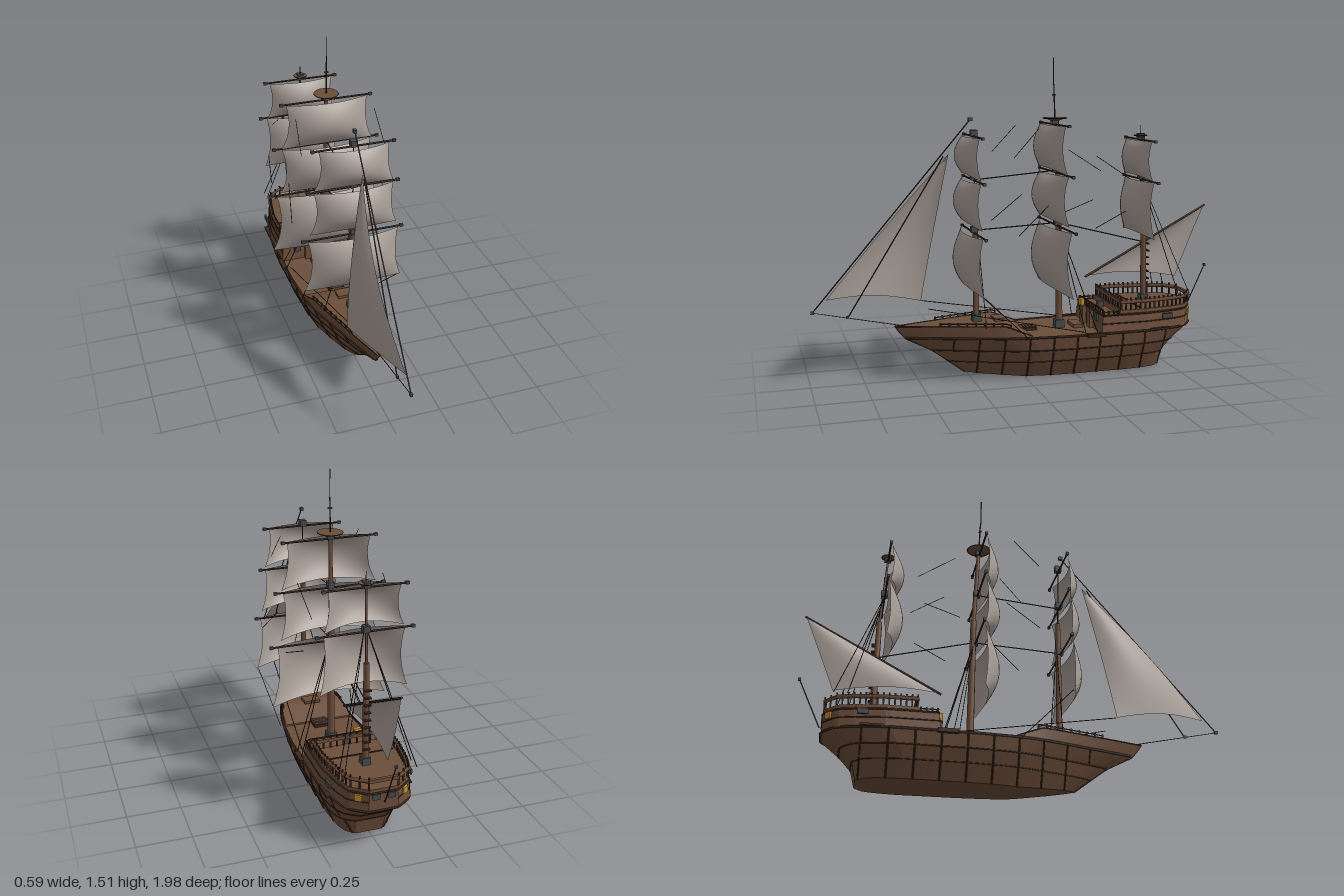
import * as THREE from 'three';
import { ParametricGeometry } from 'three/addons/geometries/ParametricGeometry.js';

const mat = (name, color, side = THREE.FrontSide) => Object.assign(new THREE.MeshStandardMaterial({ color, side }), { name });
const V = (x, y, z) => new THREE.Vector3(x, y, z);

// Half-width of the hull along its length, from stern (0) to bow (1)
const PLAN = [[0, .35], [.04, .76], [.09, .88], [.19, 1], [.47, .98], [.61, .9], [.68, .8], [.75, .64], [.89, .3], [1, .02]];
function planWidth(s) {
  const i = Math.max(1, PLAN.findIndex(p => p[0] >= s - 1e-6));
  const [a, b] = [PLAN[i - 1], PLAN[i]];
  return THREE.MathUtils.lerp(a[1], b[1], THREE.MathUtils.clamp((s - a[0]) / (b[0] - a[0]), 0, 1));
}
const level = (y, zs, zb, hw, p = 1) => ({ y, zs, zb, hw, p });
// Starboard point of a level at a given z
function edge(l, z) {
  const s = THREE.MathUtils.clamp((z - l.zs) / (l.zb - l.zs), 0, 1);
  return V(l.hw * Math.pow(planWidth(s), l.p), typeof l.y === 'function' ? l.y(z) : l.y, z);
}
const N = 30;
function side(l, zA = l.zs, zB = l.zb) {
  return Array.from({ length: N + 1 }, (_, i) => edge(l, zA + (zB - zA) * i / N));
}
const flip = p => V(-p.x, p.y, p.z);
const loop = half => [...half, ...half.map(flip).reverse()];

// Skin between stacked half outlines, closed at bottom and top
function loft(halves) {
  const pos = [];
  const tri = (...ps) => ps.forEach(p => pos.push(p.x, p.y, p.z));
  const quad = (a, b, c, d) => { tri(a, b, c); tri(a, c, d); };
  const rings = halves.map(loop);
  for (let k = 0; k + 1 < rings.length; k++) {
    const a = rings[k], b = rings[k + 1];
    a.forEach((p, i) => { const j = (i + 1) % a.length; quad(p, b[i], b[j], a[j]); });
  }
  const lo = halves[0], hi = halves[halves.length - 1];
  for (let i = 0; i < N; i++) {
    quad(hi[i], flip(hi[i]), flip(hi[i + 1]), hi[i + 1]);
    quad(lo[i], lo[i + 1], flip(lo[i + 1]), flip(lo[i]));
  }
  const g = new THREE.BufferGeometry();
  g.setAttribute('position', new THREE.Float32BufferAttribute(pos, 3));
  g.computeVertexNormals();
  return g;
}

export function createModel() {
  const ship = new THREE.Group();
  ship.name = 'sailingShip';
  const wood = mat('wood', 0x6d4e3b), trim = mat('darkWood', 0x3b271c);
  const canvas = mat('canvas', 0xaea39c, THREE.DoubleSide), rope = mat('rope', 0x33281f);
  const iron = mat('iron', 0x454b50), gold = mat('lampYellow', 0xc8962f);

  const add = (name, geo, m) => {
    const mesh = new THREE.Mesh(geo, m);
    mesh.name = name;
    ship.add(mesh);
    return mesh;
  };
  const box = (name, m, w, h, d, x, y, z, ry = 0) => {
    const b = add(name, new THREE.BoxGeometry(w, h, d), m);
    b.position.set(x, y, z);
    b.rotation.y = ry;
  };
  // Straight round bar between two points
  const bar = (name, m, a, b, r0, r1 = r0, n = 6) => {
    const c = add(name, new THREE.CylinderGeometry(r1, r0, a.distanceTo(b), n), m);
    c.position.copy(a).lerp(b, .5);
    c.quaternion.setFromUnitVectors(V(0, 1, 0), b.clone().sub(a).normalize());
  };
  const line = (a, b, r = .0028) => bar('rigging', rope, a, b, r, r, 4);
  const pair = (a, b, r) => { line(a, b, r); line(flip(a), flip(b), r); };
  const tube = (name, m, pts, r, closed = false) =>
    add(name, new THREE.TubeGeometry(new THREE.CatmullRomCurve3(pts, closed, 'catmullrom', .1), pts.length * 2, r, 4, closed), m);
  const tubePair = (name, m, pts, r) => { tube(name, m, pts, r); tube(name, m, pts.map(flip), r); };

  // Hull
  const levels = [
    level(z => .012 + .07 * Math.max(0, z), -.71, .27, .128, .7), level(.09, -.73, .35, .162, .8),
    level(.15, -.785, .43, .184, .9), level(.217, -.87, .56, .195)];
  add('hull', loft(levels.map(l => side(l))), wood);
  [0, .003, .0035, .006].forEach((r, i) => r && tube('wale', trim, loop(side(levels[i])), r, true));
  for (let z = -.7; z < .5; z += .115) {
    const pts = levels.filter(l => z > l.zs && z < l.zb - .02).map(l => edge(l, z));
    if (pts.length > 1) tubePair('hullRib', trim, pts, .0042);
  }
  tube('stem', trim, [V(0, .03, .27), V(0, .09, .35), V(0, .15, .43), V(0, .217, .56), V(0, .28, .605)], .005);

  // Forecastle and stern castle
  const foreTop = level(z => .225 + .05 * THREE.MathUtils.clamp((z + .02) / .12, 0, 1), -.87, .605, .185);
  const castle1 = level(.302, -.868, .56, .184), castle2 = level(.322, -.868, .56, .182);
  add('forecastle', loft([side(levels[3], -.02, .56), side(foreTop, -.02, .605)]), wood);
  add('quarterdeck', loft([side(levels[3], -.87, -.36), side(castle1, -.868, -.37)]), wood);
  add('poop', loft([side(castle1, -.868, -.45), side(castle2, -.868, -.46)]), wood);
  tube('castleMoulding', trim, loop(side(castle1, -.868, -.37)), .005, true);
  tubePair('forecastleMoulding', trim, side(foreTop, -.02, .6), .003);
  tubePair('castleMoulding', trim, side(level(.262, -.869, .56, .19), -.869, -.36), .003);

  // Railings
  const railing = (l, zA, zB, step, h, m, r) => {
    for (let z = zA; z <= zB; z += step) {
      const p = edge(l, z);
      for (const s of [-1, 1]) box('railPost', trim, .007, h, .007, s * p.x * .97, p.y + h / 2, z);
    }
    tubePair('rail', m, side(l, zA, zB).map(p => V(p.x * .97, p.y + h * .68, p.z)), r);
  };
  railing(castle2, -.864, -.46, .025, .058, wood, .01);
  railing(foreTop, .08, .4, .04, .018, trim, .003);
  railing(castle1, -.45, -.37, .025, .022, trim, .003);
  for (let x = -.16; x <= .161; x += .032) {
    box('railPost', trim, .007, .058, .007, x, .351, -.465);
    box('railPost', trim, .006, .024, .006, x, .314, -.375);
  }
  box('rail', wood, .34, .016, .014, 0, .361, -.465);
  box('rail', wood, .13, .016, .014, 0, .361, -.862);
  box('rail', trim, .34, .006, .006, 0, .325, -.375);

  // Castle windows, lanterns and channels
  for (const s of [-1, 1]) {
    box('sternLight', gold, .034, .03, .009, s * .107, .282, -.846, s * 2.5);
    box('sternWindow', iron, .035, .026, .009, s * .035, .285, -.869);
    box('frontWindow', iron, .036, .034, .009, s * .108, .28, -.361);
    box('sideWindow', iron, .009, .024, .05, s * .189, .283, -.7);
    box('channel', trim, .024, .018, .09, s * .198, .215, -.33);
    box('channel', trim, .02, .01, .1, s * .19, .222, -.66);
    box('ladder', wood, .04, .085, .02, s * .05, .26, -.35);
  }
  box('lantern', gold, .034, .036, .02, -.077, .315, -.352);

  // Deck fittings
  box('hatchFrame', trim, .08, .014, .085, 0, .225, -.04);
  for (let i = -2; i <= 2; i++) box('hatchSlat', i % 2 ? iron : wood, .064, .006, .01, 0, .231, -.04 + i * .015);
  box('hatchCover', wood, .1, .02, .05, 0, .225, -.29);
  box('hatchCover', wood, .08, .014, .06, 0, .282, .1);
  box('deckBeam', trim, .33, .006, .006, 0, .323, -.57);
  box('capstan', iron, .03, .03, .03, 0, .318, -.42);
  box('mastCollar', iron, .045, .04, .045, 0, .235, -.205);
  box('mastCollar', iron, .04, .035, .04, 0, .292, .212);
  box('mastCollar', iron, .04, .035, .04, 0, .338, -.65);

  // Masts
  const mast = (pts, radii) => radii.forEach((r, i) => bar('mast', r > .005 ? wood : trim, pts[i], pts[i + 1], r, r * .8, 10));
  mast([V(0, .25, .212), V(0, .87, .215), V(0, 1.16, .222)], [.015, .003]);
  mast([V(0, .2, -.207), V(0, .85, -.2), V(0, 1.24, -.18), V(0, 1.4, -.174)], [.018, .011, .0035]);
  mast([V(0, .31, -.652), V(0, .8, -.645), V(0, 1.145, -.622), V(0, 1.2, -.62)], [.016, .006, .002]);
  box('mastTip', trim, .002, .13, .006, 0, 1.46, -.172);
  box('finial', iron, .02, .005, .012, 0, 1.35, -.175);
  // Ladder up the mizzen mast
  for (let y = .4; y < .7; y += .035) box('mastStep', trim, .03, .006, .014, 0, y, -.668);
  const nest = (y, z, r) => {
    const c = add('lookoutPlatform', new THREE.CylinderGeometry(r, r * .35, .014, 14), wood);
    c.position.set(0, y, z);
    tube('platformRim', trim, Array.from({ length: 14 }, (_, i) => V(r * Math.cos(i * Math.PI / 7), y + .005, z + r * Math.sin(i * Math.PI / 7))), .0025, true);
  };
  nest(1.235, -.18, .058);
  nest(1.145, -.622, .032);

  // Square sails with their yards: top, bottom, z, yard half-length, sail half-widths, belly
  const squareSail = (yT, yB, z, yard, wT, wB, belly) => {
    add('squareSail', new ParametricGeometry((a, b, t) => {
      const u = a * 2 - 1, v = b * 2 - 1, round = 1 - v * v, mid = 1 - u * u;
      const w = THREE.MathUtils.lerp(wB, wT, b) * (1 - .1 * round);
      t.set(u * w, THREE.MathUtils.lerp(yB + .022 * mid, yT, b), z + .008 + belly * (mid * (.45 + .4 * round) + .15 * round));
    }, 14, 12), canvas);
    bar('yard', trim, V(-yard, yT, z), V(yard, yT, z), .0045);
    box('yardBlock', iron, .03, .03, .032, 0, yT + .015, z - .002);
    for (const s of [-1, 1]) box('yardEnd', iron, .016, .013, .013, s * yard, yT, z);
  };
  const rig = [
    [.705, .435, .222, .24, .22, .24, .088], [.955, .74, .222, .215, .19, .21, .086], [1.16, .965, .222, .19, .165, .19, .08],
    [.722, .415, -.192, .285, .255, .282, .108], [.98, .745, -.185, .26, .225, .235, .102], [1.21, .985, -.178, .22, .2, .228, .086],
    [.935, .66, -.628, .215, .185, .2, .083], [1.13, .94, -.622, .185, .165, .18, .073]];
  rig.forEach(r => squareSail(...r));

  // Triangular sails, bowed to one side
  const triSail = (name, a, b, c, belly, luff) => add(name, new ParametricGeometry((u, v, t) => {
    t.copy(a).lerp(c, u).lerp(b, v);
    t.x -= belly * Math.sin(Math.PI * u * .85) * Math.sin(Math.PI * (.25 + .75 * v)) + luff * Math.sin(Math.PI * v) * (1 - u);
    t.y += .02 * Math.sin(Math.PI * u) * (1 - v);
  }, 12, 14), canvas);
  triSail('jib', V(0, .42, .92), V(0, 1.08, .34), V(-.095, .365, .46), .04, .035);
  triSail('lateenSail', V(-.014, .46, -.355), V(-.014, .79, -.98), V(-.02, .43, -.835), .025, 0);
  bar('lateenYard', trim, V(-.014, .455, -.345), V(-.014, .792, -.985), .006, .005);
  bar('flagStaff', trim, V(0, .26, -.88), V(0, .485, -.985), .003, .0025);
  box('flagStaffKnob', iron, .012, .012, .012, 0, .485, -.985);

  // Bowsprit and headstays
  bar('bowsprit', trim, V(0, .275, .56), V(0, .365, .985), .002, .0015);
  box('bowspritEnd', iron, .012, .014, .016, 0, .365, .983);
  box('bowspritEnd', iron, .01, .012, .012, 0, .333, .825);
  box('stayBlock', iron, .014, .016, .02, 0, 1.24, .235);
  line(V(0, .365, .983), V(0, 1.245, .23), .003);
  line(V(0, .335, .82), V(0, 1.07, .365), .003);
  pair(V(.09, .37, .46), V(.17, .225, -.28), .002);

  // Stays between masts, shrouds and braces
  line(V(0, .955, .222), V(0, .99, -.19));
  line(V(0, .715, .222), V(0, .735, -.19));
  line(V(0, .735, -.2), V(0, .62, -.645));
  for (const d of [.07, .13]) {
    pair(V(.01, .72, -.2), V(.193, .22, -.21 - d), .0022);
    pair(V(.01, .93, -.63), V(.165, .37, -.7 - d), .002);
  }
  pair(V(.01, .7, .205), V(.135, .27, .195), .002);
  pair(V(.235, .435, .225), V(.19, .215, .0), .002);
  pair(V(.25, .72, .07), V(.22, .85, -.08), .0018);
  pair(V(.25, .74, -.3), V(.22, .81, -.46), .0018);
  pair(V(.2, 1.07, .08), V(.19, 1.2, -.04), .0015);
  pair(V(.2, 1.07, -.32), V(.19, .96, -.49), .0015);
  return ship;
}
